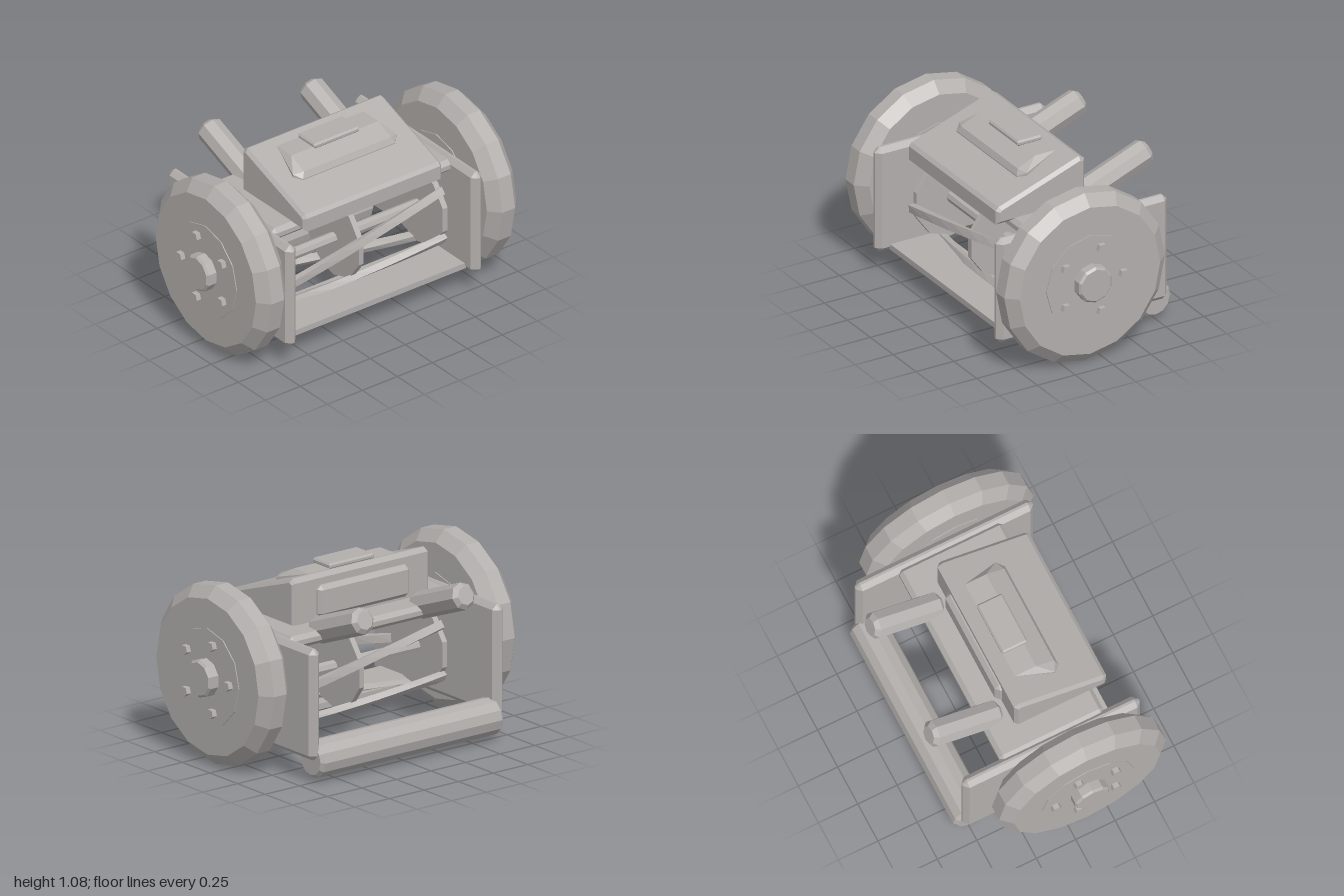
import * as THREE from 'three';
import { ConvexGeometry } from 'three/addons/geometries/ConvexGeometry.js';

const V = (x, y, z) => new THREE.Vector3(x, y, z);

// Faceted shading carried by the geometry
function flat(geometry) {
  const g = geometry.index ? geometry.toNonIndexed() : geometry;
  g.computeVertexNormals();
  return g;
}

// Box with every edge chamfered by c
function chamferBox(w, h, d, c) {
  const a = w / 2, b = h / 2, e = d / 2, pts = [];
  for (const i of [-1, 1]) for (const j of [-1, 1]) for (const k of [-1, 1]) {
    pts.push(V(i * a, j * (b - c), k * (e - c)), V(i * (a - c), j * b, k * (e - c)), V(i * (a - c), j * (b - c), k * e));
  }
  return flat(new ConvexGeometry(pts));
}

// Closed cylinder along x with chamfered ends
function drum(r, length, sides, cr = 0, cl = cr) {
  const h = length / 2;
  const profile = [[0, -h], [r - cr, -h], [r, -h + cl], [r, h - cl], [r - cr, h], [0, h]];
  const pts = profile.map(([x, y]) => new THREE.Vector2(x, y));
  const g = new THREE.LatheGeometry(pts, sides, Math.PI / 2);
  return flat(g.rotateZ(-Math.PI / 2));
}

// Twisted bar around the x axis
function bladeGeometry(base, twist, half, radius, thick, wide, steps) {
  const pos = [], index = [];
  for (let i = 0; i <= steps; i++) {
    const t = (i / steps) * 2 - 1, a = base + twist * t;
    for (const [u, v] of [[-1, -1], [1, -1], [1, 1], [-1, 1]]) {
      const r = radius + u * thick / 2, s = v * wide / 2;
      pos.push(half * t, r * Math.sin(a) + s * Math.cos(a), r * Math.cos(a) - s * Math.sin(a));
    }
    if (i < steps) for (let k = 0; k < 4; k++) {
      const p = i * 4 + k, q = i * 4 + (k + 1) % 4;
      index.push(p, p + 4, q, q, p + 4, q + 4);
    }
  }
  const e = steps * 4;
  index.push(0, 1, 2, 0, 2, 3, e, e + 2, e + 1, e, e + 3, e + 2);
  // Orient the winding outwards
  const g = new THREE.BufferGeometry();
  g.setAttribute('position', new THREE.Float32BufferAttribute(pos, 3));
  const a = V(pos[0], pos[1], pos[2]), b = V(pos[3], pos[4], pos[5]), c = V(pos[6], pos[7], pos[8]);
  const capNormal = b.sub(a).cross(c.sub(a));
  if (capNormal.x > 0) for (let i = 0; i < index.length; i += 3) [index[i], index[i + 1]] = [index[i + 1], index[i]];
  g.setIndex(index);
  return flat(g);
}

export function createModel() {
  const model = new THREE.Group();
  model.name = 'reelMower';
  const grey = new THREE.MeshStandardMaterial({ color: 0xb2aeac });
  grey.name = 'warmGrey';

  function add(name, geometry, x = 0, y = 0, z = 0, parent = model) {
    const mesh = new THREE.Mesh(geometry, grey);
    mesh.name = name;
    mesh.position.set(x, y, z);
    parent.add(mesh);
    return mesh;
  }

  // Wheels, hubs, bolts and side plates, mirrored
  const wheelY = 0.53, axleZ = 0.11;
  for (const s of [1, -1]) {
    const side = s > 0 ? 'left' : 'right';
    const wheel = new THREE.Group();
    wheel.name = side + 'Wheel';
    wheel.position.set(0, wheelY, axleZ);
    model.add(wheel);
    add('tyre', drum(0.53, 0.21, 16, 0.067, 0.06), s * 0.825, 0, 0, wheel);
    add('wheelDisc', drum(0.29, 0.222, 12), s * 0.825, 0, 0, wheel);
    add('hub', drum(0.112, 0.09, 10, 0.013), s * 0.955, 0, 0, wheel);
    add('stubAxle', drum(0.065, 0.2, 10), s * 0.74, 0, 0, wheel);
    for (let i = 0; i < 5; i++) {
      const a = Math.PI + i * Math.PI * 2 / 5;
      add('wheelBolt', drum(0.03, 0.05, 5), s * 0.941, 0.21 * Math.sin(a), 0.21 * Math.cos(a), wheel);
    }
    add(side + 'SidePlate', chamferBox(0.075, 0.66, 1.125, 0.03), s * 0.664, 0.47, 0.012);

    // Handle stub leaning up and back
    const handle = add(side + 'HandleStub', drum(0.08, 0.47, 8, 0.025), s * 0.365, 0.847, -0.39);
    handle.rotation.set(0, Math.PI / 2, 0.37, 'YZX');
  }

  // Frame cross pieces
  add('deck', chamferBox(1.29, 0.078, 0.66, 0.025), 0, 0.763, 0.037);
  add('bedKnife', new THREE.BoxGeometry(1.27, 0.035, 0.33), 0, 0.167, 0.325);
  add('rearRoller', drum(0.11, 1.32, 12, 0.02), 0, 0.133, -0.486);

  // Cutting reel
  const reel = new THREE.Group();
  reel.name = 'cuttingReel';
  reel.position.set(0, 0.41, axleZ);
  model.add(reel);
  add('reelShaft', drum(0.036, 1.3, 8), 0, 0, 0, reel);
  for (const x of [-0.6, 0, 0.6]) add('reelDisc', drum(0.245, 0.035, 10), x, 0, 0, reel);
  for (let i = 0; i < 5; i++) {
    const base = Math.PI / 2 + i * Math.PI * 2 / 5;
    add('reelBlade', bladeGeometry(base, 0.4, 0.61, 0.25, 0.038, 0.048, 8), 0, 0, 0, reel);
  }

  // Wedge hood, profile in z and y
  const profile = [[0.46, 0.78], [0.46, 0.865], [0.44, 0.885], [-0.09, 1.072], [-0.125, 1.05], [-0.125, 0.78]];
  const hood = new THREE.ExtrudeGeometry(new THREE.Shape(profile.map(([z, y]) => new THREE.Vector2(z, y))), {
    depth: 0.95, bevelEnabled: true, bevelSegments: 1, bevelSize: 0.02, bevelOffset: -0.02, bevelThickness: 0.02,
  });
  add('hood', hood.translate(0, 0, -0.475).rotateY(-Math.PI / 2));
  add('hoodBackPanel', chamferBox(0.66, 0.19, 0.1, 0.025), 0, 0.915, -0.11);

  // Raised scoop and its cap
  const scoop = [];
  for (const s of [1, -1]) {
    scoop.push(
      V(s * 0.31, 1.052, -0.035), V(s * 0.31, 1.052, 0.1), V(s * 0.37, 0.99, 0.19), V(s * 0.37, 0.94, 0.19),
      V(s * 0.31, 1.0, 0.215), V(s * 0.33, 0.965, 0.232), V(s * 0.33, 0.94, 0.232), V(s * 0.31, 0.94, -0.035));
  }
  add('hoodScoop', flat(new ConvexGeometry(scoop)));
  add('fillerCap', chamferBox(0.325, 0.034, 0.163, 0.01), 0, 1.064, 0.043);
  return model;
}
